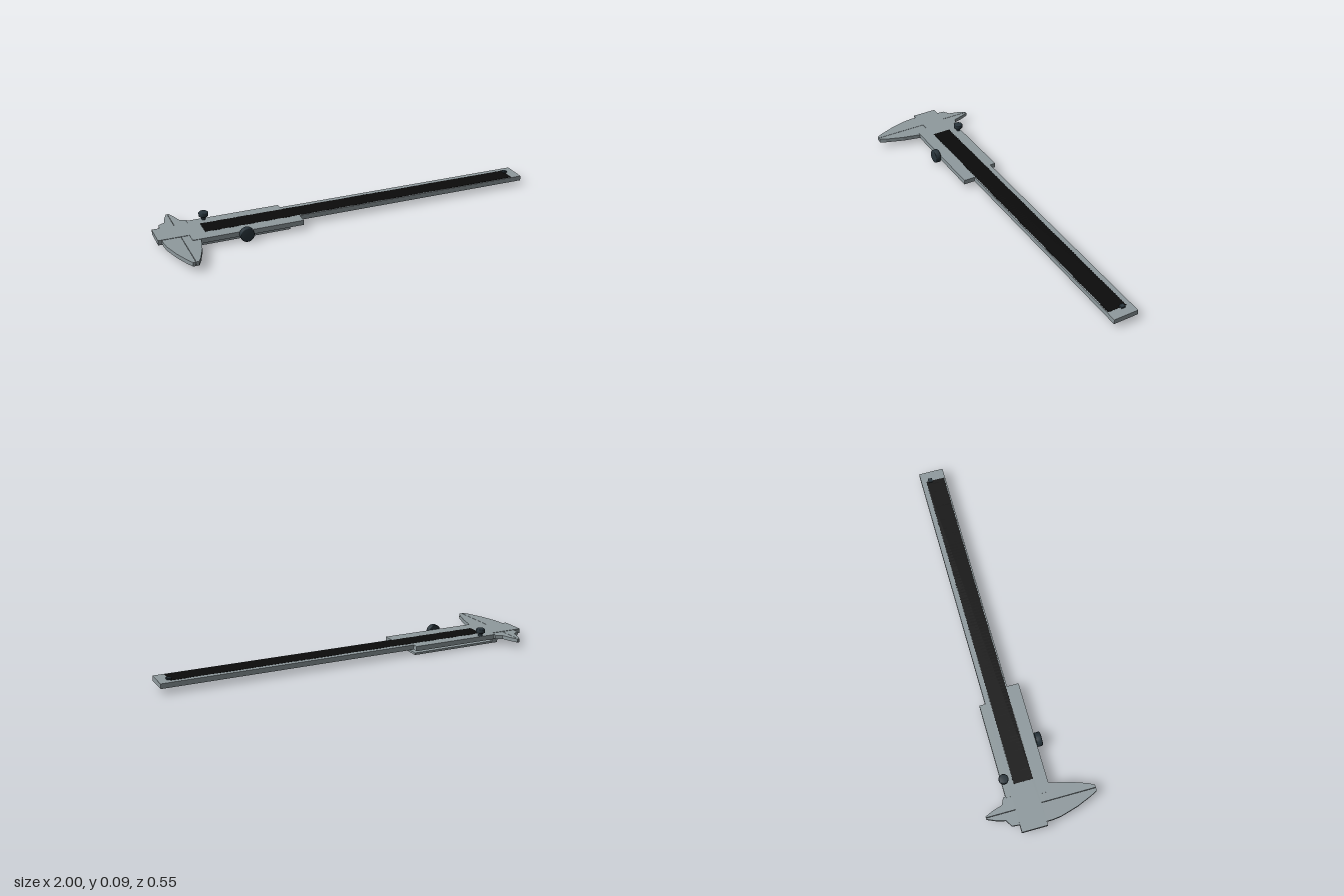
import * as THREE from 'three';

const mat = (name, color) => {
  const m = new THREE.MeshStandardMaterial({ color });
  m.name = name;
  return m;
};

export function createModel() {
  const steel = mat('brushed steel', 0x8f9a9e);
  const dark = mat('dark blued metal', 0x28343b);
  const black = mat('black scale', 0x0b0b0b);
  const group = new THREE.Group();

  const add = (name, geometry, material) => {
    const mesh = new THREE.Mesh(geometry, material);
    mesh.name = name;
    group.add(mesh);
    return mesh;
  };
  // Box given by its limits on each axis
  const box = (name, [x0, x1], [y0, y1], [z0, z1], material = steel) => {
    const mesh = add(name, new THREE.BoxGeometry(x1 - x0, y1 - y0, z1 - z0), material);
    mesh.position.set((x0 + x1) / 2, (y0 + y1) / 2, (z0 + z1) / 2);
    return mesh;
  };
  // Plan outline of [x, z] points, extruded upward from y0 to y1
  const plate = (name, points, y0, y1) => {
    const shape = new THREE.Shape(points.map(([x, z]) => new THREE.Vector2(x, -z)));
    const g = new THREE.ExtrudeGeometry(shape, { depth: y1 - y0, bevelEnabled: false });
    g.rotateX(-Math.PI / 2).translate(0, y0, 0);
    return add(name, g, steel);
  };
  // Round knob with chamfered rims, standing on y = 0
  const knob = (name, radius, height) => {
    const c = 0.004;
    const profile = [[0, 0], [radius - c, 0], [radius, c], [radius, height - c], [radius - c, height], [0, height]]
      .map(([r, y]) => new THREE.Vector2(r, y));
    return add(name, new THREE.LatheGeometry(profile, 32), dark);
  };

  // Main beam with its black scale
  box('beam', [-1, 1], [0.025, 0.05], [-0.13, 0]);
  box('scaleStrip', [-0.765, 0.945], [0.05, 0.0508], [-0.103, -0.007], black);

  // Graduation teeth along both edges of the scale
  const count = 100;
  const ticks = new THREE.InstancedMesh(new THREE.BoxGeometry(0.007, 0.0008, 0.1), black, count);
  const placed = new THREE.Matrix4();
  ticks.name = 'scaleTicks';
  for (let i = 0; i < count; i++) {
    ticks.setMatrixAt(i, placed.makeTranslation(-0.761 + (i * 1.702) / (count - 1), 0.0504, -0.055));
  }
  group.add(ticks);

  // End stop and depth rod
  box('endStop', [0.935, 0.957], [0.05, 0.058], [-0.092, -0.07], dark);
  box('depthRod', [-0.84, 0.76], [0.012, 0.02], [-0.062, -0.051]);

  // Large outside jaws, meeting on one line
  const mid = -0.887;
  plate('fixedLargeJaw', [[-0.98, -0.01], [-0.98, 0.03], [-0.975, 0.075], [-0.95, 0.165],
    [-0.918, 0.245], [-0.902, 0.275], [mid - 0.001, 0.275], [mid - 0.001, -0.01]], 0.027, 0.048);
  plate('slidingLargeJaw', [[mid + 0.001, 0], [mid + 0.001, 0.275], [-0.873, 0.275], [-0.857, 0.245],
    [-0.825, 0.155], [-0.803, 0.06], [-0.8, 0]], 0.027, 0.048);

  // Small inside jaws
  plate('fixedSmallJaw', [[-0.962, -0.125], [mid - 0.001, -0.125], [mid - 0.001, -0.277], [-0.894, -0.277],
    [-0.912, -0.235], [-0.925, -0.187], [-0.958, -0.168]], 0.029, 0.048);
  plate('slidingSmallJaw', [[mid + 0.001, -0.125], [-0.81, -0.125], [-0.815, -0.172], [-0.848, -0.187],
    [-0.862, -0.235], [-0.88, -0.277], [mid + 0.001, -0.277]], 0.029, 0.048);

  // Slider: front body, rear rail, bottom plate and its joining block
  box('sliderBody', [-0.845, -0.28], [0.025, 0.05], [0, 0.06]);
  box('sliderRearRail', [-0.82, -0.34], [0.025, 0.05], [-0.16, -0.13]);
  box('sliderBottomPlate', [-0.845, -0.34], [0, 0.011], [-0.145, 0.03]);
  box('sliderBridge', [-0.845, -0.815], [0.011, 0.026], [-0.147, 0.032]);

  // Thumb wheel on the front edge
  const wheel = knob('thumbWheel', 0.036, 0.031);
  wheel.rotation.x = Math.PI / 2;
  wheel.position.set(-0.58, 0.038, 0.059);

  // Locking screw on the rear rail
  const stem = add('lockScrewStem', new THREE.CylinderGeometry(0.011, 0.011, 0.02, 24), dark);
  stem.position.set(-0.735, 0.058, -0.147);
  knob('lockScrewHead', 0.024, 0.024).position.set(-0.735, 0.066, -0.147);

  return group;
}
